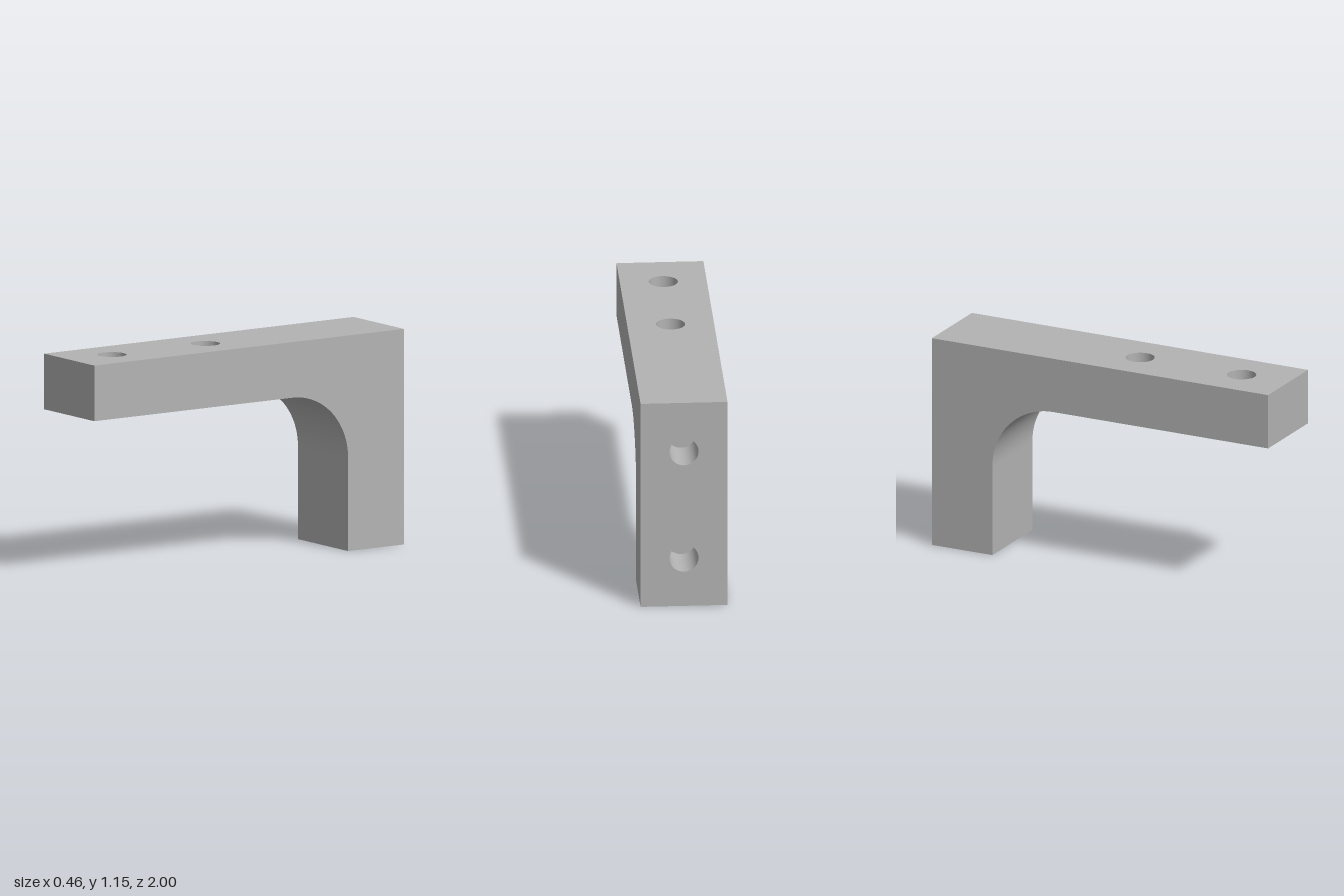
import * as THREE from 'three';

const W = 0.46, HALF = W / 2;          // bracket width
const TOP = 1.155, UNDER = 0.857;      // arm top and underside
const BACK = -1, FRONT = 1, LEG = -0.64; // leg spans BACK..LEG
const R = 0.36;                        // inner corner radius
const CY = UNDER - R, CZ = LEG + R;    // centre of the inner corner
const HOLE = 0.077, BLIND = 0.25;
const ARM_HOLES = [0.12, 0.724];       // z of the holes through the arm
const LEG_HOLES = [0.272, 0.877];      // y of the blind holes in the back

export function createModel() {
  const group = new THREE.Group();
  const steel = new THREE.MeshStandardMaterial({ color: 0xb3b3b3 });

  const add = (name, geometry, x = 0, y = 0, z = 0) => {
    const mesh = new THREE.Mesh(geometry, steel);
    mesh.name = name;
    mesh.position.set(x, y, z);
    group.add(mesh);
    return mesh;
  };

  // Flat strip of full width from v0 to v1, with round holes on its centre line
  const strip = (v0, v1, holes = []) => {
    const shape = new THREE.Shape([
      new THREE.Vector2(-HALF, v0), new THREE.Vector2(HALF, v0),
      new THREE.Vector2(HALF, v1), new THREE.Vector2(-HALF, v1),
    ]);
    for (const v of holes) {
      shape.holes.push(new THREE.Path().absarc(0, v, HOLE, 0, Math.PI * 2, true));
    }
    return new THREE.ShapeGeometry(shape, 24);
  };

  // Inward-facing wall of a hole, running down from its mouth
  const bore = (depth) => new THREE.LatheGeometry(
    [new THREE.Vector2(HOLE, 0), new THREE.Vector2(HOLE, -depth)], 48);

  // L-shaped sides with the rounded inner corner
  for (const s of [1, -1]) {
    const outline = [[BACK, 0], [LEG, 0]];
    for (let i = 0; i <= 24; i++) {
      const a = (i / 24) * Math.PI / 2;
      outline.push([CZ - R * Math.cos(a), CY + R * Math.sin(a)]);
    }
    outline.push([FRONT, UNDER], [FRONT, TOP], [BACK, TOP]);
    const shape = new THREE.Shape(outline.map(([z, y]) => new THREE.Vector2(-s * z, y)));
    add(s > 0 ? 'leftSide' : 'rightSide',
      new THREE.ShapeGeometry(shape).rotateY(s * Math.PI / 2), s * HALF);
  }

  // Arm faces
  add('armTop', strip(-FRONT, -BACK, ARM_HOLES.map((z) => -z)).rotateX(-Math.PI / 2), 0, TOP);
  add('armUnderside', strip(CZ, FRONT, ARM_HOLES).rotateX(Math.PI / 2), 0, UNDER);
  add('armEnd', strip(UNDER, TOP), 0, 0, FRONT);

  // Leg faces
  add('legBack', strip(0, TOP, LEG_HOLES).rotateY(Math.PI), 0, 0, BACK);
  add('legFront', strip(0, CY), 0, 0, LEG);
  add('legFoot', strip(BACK, LEG).rotateX(Math.PI / 2));

  // Rounded inner corner: a plane bent through a quarter turn
  const fillet = new THREE.PlaneGeometry(W, 1, 1, 24);
  const p = fillet.attributes.position;
  for (let i = 0; i < p.count; i++) {
    const a = (p.getY(i) + 0.5) * Math.PI / 2;
    p.setXYZ(i, p.getX(i), CY + R * Math.sin(a), CZ - R * Math.cos(a));
  }
  fillet.computeVertexNormals();
  add('innerCorner', fillet);

  // Through holes in the arm
  for (const z of ARM_HOLES) add('armHole', bore(TOP - UNDER), 0, TOP, z);

  // Blind holes in the back of the leg
  for (const y of LEG_HOLES) {
    add('legHole', bore(BLIND).rotateX(-Math.PI / 2), 0, y, BACK);
    add('legHoleFloor', new THREE.CircleGeometry(HOLE, 48).rotateY(Math.PI), 0, y, BACK + BLIND);
  }

  return group;
}
